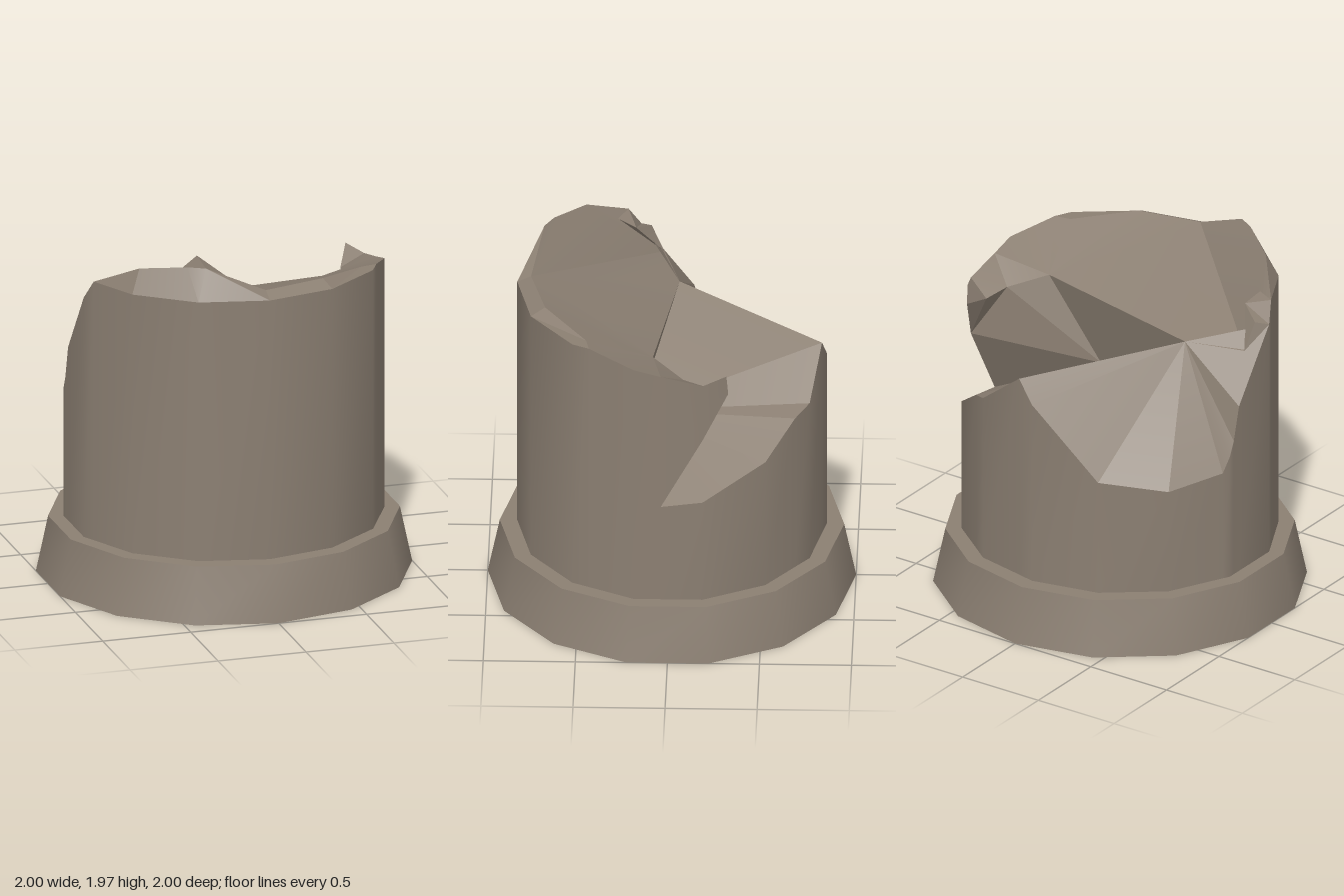
import * as THREE from 'three';
import { toCreasedNormals } from 'three/addons/utils/BufferGeometryUtils.js';

const BASE_TOP = 0.315;

// Corner points along the broken edge of the shaft, in order from the right
// side round the back, the left and the front.
const RIM = {
  T: [0.855, 0.89, 0.04], r1: [0.855, 0.92, -0.187], r2: [0.684, 1.08, -0.524],
  r3: [0.48, 1.24, -0.68], r4: [0.38, 1.28, -0.757], R: [0.1, 1.5, -0.817],
  r5: [0, 1.38, -0.84], r6: [-0.38, 0.98, -0.757], r7: [-0.684, 0.915, -0.524],
  r8: [-0.835, 0.95, -0.226], r9: [-0.855, 1.04, -0.187], r10: [-0.855, 1.12, -0.15],
  r11: [-0.855, 1.31, -0.1], E4: [-0.855, 1.69, 0.187], E1: [-0.82, 1.8, 0.256],
  r13: [-0.684, 1.8, 0.524], r14: [-0.38, 1.8, 0.757], r15: [0, 1.8, 0.84],
  r16: [0.38, 1.8, 0.757], r17: [0.684, 1.8, 0.524], r18: [0.73, 1.8, 0.433],
  r19: [0.855, 1.74, 0.187], T2: [0.855, 1.7, 0.04],
};

// Points inside the break and on the overhanging corner.
const INNER = {
  A: [-0.45, 1.56, -0.03], B: [-0.78, 1.56, 0.06], V: [0.25, 1.15, 0.18],
  F: [0, 1.835, 0.765], P: [0.53, 1.64, 0.09], Q1: [0.69, 1.59, -0.08], Q2: [0.73, 1.565, -0.22],
  M: [0.855, 1.307, -0.187], S: [0.785, 1.56, -0.325], Sp: [0.788, 1.67, -0.315], K: [0.855, 1.645, -0.187],
  l1: [0.35, 1.84, 0.68], l2: [0.64, 1.8, 0.45],
  p1: [-0.32, 1.97, 0.7], p2: [-0.41, 1.97, 0.65], p3: [-0.63, 1.93, 0.48], p4: [-0.71, 1.8, 0.31],
  E2: [-0.68, 1.76, 0.21], E3: [-0.8, 1.71, 0.13],
};
const POINTS = { ...RIM, ...INNER };

// Each string is a fan of corners around its first point.
function fans(list) {
  const out = [];
  for (const text of list) {
    const p = text.split(' ').map((name) => POINTS[name]);
    for (let i = 1; i < p.length - 1; i++) out.push(p[0], p[i], p[i + 1]);
  }
  return out;
}

// Vertical wall below the broken edge.
function shaftWall() {
  const rim = Object.values(RIM);
  const out = [];
  for (let i = 0; i < rim.length - 1; i++) {
    const a = rim[i], b = rim[i + 1];
    const a0 = [a[0], BASE_TOP, a[2]], b0 = [b[0], BASE_TOP, b[2]];
    out.push(a0, b0, b, a0, b, a);
  }
  return out;
}

export function createModel() {
  const group = new THREE.Group();
  const stone = new THREE.MeshStandardMaterial({ color: 0x8b7f72 });
  stone.name = 'stone';

  function add(name, geometry, crease) {
    const mesh = new THREE.Mesh(toCreasedNormals(geometry, crease), stone);
    mesh.name = name;
    group.add(mesh);
  }
  function addFaces(name, corners, crease) {
    const geometry = new THREE.BufferGeometry();
    geometry.setAttribute('position', new THREE.Float32BufferAttribute(corners.flat(), 3));
    add(name, geometry, crease);
  }

  // Tapered fourteen-sided foot
  const foot = new THREE.CylinderGeometry(0.935, 1, BASE_TOP, 14);
  foot.scale(1.0257, 1, 1);
  foot.translate(0, BASE_TOP / 2, 0);
  add('foot', foot, 0.6);

  // Shaft with the overhanging corner on its right side
  addFaces('shaft', [...shaftWall(), ...fans(['M S Sp K T2 T'])], 0.6);

  // Lower break: sloping bed of the notch and the chipped back
  addFaces('notchBed', fans(['V T r1 r2 r3 r4 R A']), 0.15);
  addFaces('chippedBack', fans(['A R r5 r6 r7 r8 r9 r10 r11 E4 B']), 0.15);

  // Underside of the overhang
  addFaces('overhangUnderside', fans(['V A P Q1 M T', 'Q2 Sp S M Q1']), 0.15);

  // Upper break: large slanted face with its right corner
  addFaces('slantedTop', fans(['A B F P', 'P F l1 l2 r18 r19 T2 Q1', 'K Q2 Q1 T2', 'Q2 K Sp']), 0.15);

  // Narrow front lip and the jagged crest at the front left
  addFaces('frontLip', fans(['l1 F r15 r16 l2', 'l2 r16 r17 r18']), 0.3);
  addFaces('crest', fans([
    'B E3 E2 p4 p3 F', 'F p3 p2 p1 r15', 'r14 r15 p1 p2', 'r13 r14 p2 p3',
    'E1 r13 p3 p4 E2', 'E4 E1 E2 E3 B',
  ]), 0.3);

  return group;
}
